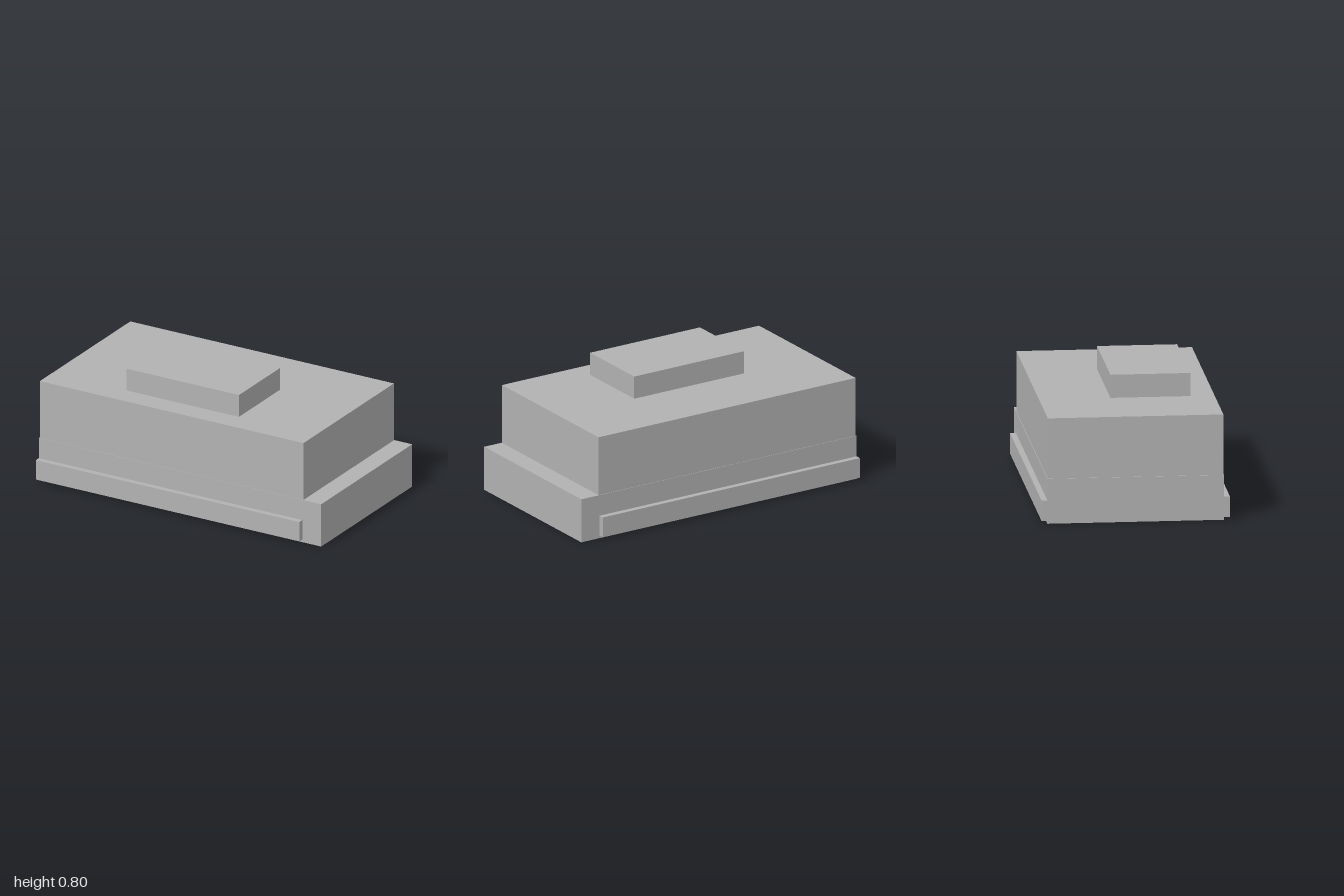
import * as THREE from 'three';

export function createModel() {
  const model = new THREE.Group();
  const grey = new THREE.MeshStandardMaterial({ color: 0xb2b2b2 });
  grey.name = 'plain grey';

  // Box given by its lower and upper bounds on each axis
  function block(name, [x0, x1], [y0, y1], [z0, z1]) {
    const mesh = new THREE.Mesh(new THREE.BoxGeometry(x1 - x0, y1 - y0, z1 - z0), grey);
    mesh.position.set((x0 + x1) / 2, (y0 + y1) / 2, (z0 + z1) / 2);
    mesh.name = name;
    model.add(mesh);
  }

  // Stacked blocks: wide base, main body, small raised top
  block('base', [-1, 1], [0, 0.28], [-0.54, 0.54]);
  block('body', [-0.995, 0.873], [0.28, 0.656], [-0.537, 0.537]);
  block('topBlock', [-0.47, 0.328], [0.656, 0.8], [-0.1, 0.39]);

  // Side rails along the front and back of the base
  block('frontRail', [-1, 0.867], [0.018, 0.146], [0.54, 0.576]);
  block('backRail', [-1, 0.867], [0.018, 0.146], [-0.576, -0.54]);

  return model;
}
